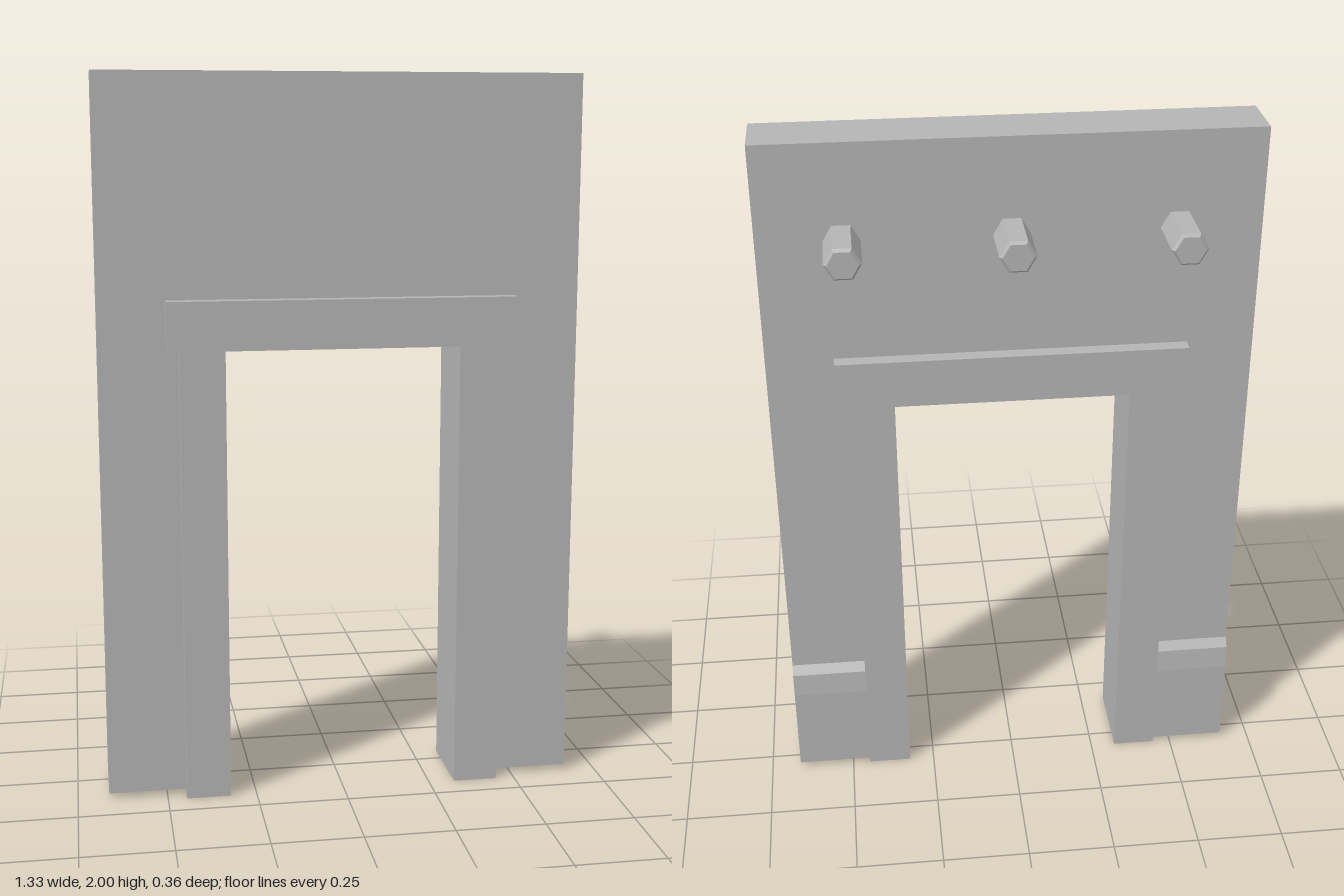
import * as THREE from 'three';

export function createModel() {
  const group = new THREE.Group();
  const stone = new THREE.MeshStandardMaterial({ color: 0xb4b4b4 });
  stone.name = 'grey stone';
  stone.flatShading = true;

  const add = (name, geometry, x = 0, y = 0, z = 0) => {
    const mesh = new THREE.Mesh(geometry, stone);
    mesh.name = name;
    mesh.position.set(x, y, z);
    group.add(mesh);
    return mesh;
  };
  const block = (name, x0, x1, y0, y1, z0, z1) =>
    add(name, new THREE.BoxGeometry(x1 - x0, y1 - y0, z1 - z0),
      (x0 + x1) / 2, (y0 + y1) / 2, (z0 + z1) / 2);

  // wall slab with a doorway; the opening's edges are buried in the frame
  const outline = new THREE.Shape([
    [-0.663, 0.015], [-0.385, 0.015], [-0.385, 1.33], [0.385, 1.33],
    [0.385, 0.015], [0.663, 0.015], [0.663, 2], [-0.663, 2],
  ].map(([x, y]) => new THREE.Vector2(x, y)));
  add('wall', new THREE.ExtrudeGeometry(outline, { depth: 0.165, bevelEnabled: false }), 0, 0, -0.025);

  // door frame
  block('lintel', -0.48, 0.48, 1.265, 1.4, -0.065, 0.182);

  // plinth profile, drawn as (-z, y) and extruded along x
  const plinth = new THREE.Shape([
    [0.025, 0.015], [0.053, 0.015], [0.051, 0.28], [0.045, 0.35], [0.025, 0.375],
  ].map(([x, y]) => new THREE.Vector2(x, y)));

  for (const [side, s] of [['left', 1], ['right', -1]]) {
    const inner = s * 0.323, outer = s * 0.447;
    block(side + 'Post', Math.min(inner, outer), Math.max(inner, outer), 0, 1.265, -0.055, 0.175);

    const foot = add(side + 'Plinth',
      new THREE.ExtrudeGeometry(plinth, { depth: 0.243, bevelEnabled: false }),
      s > 0 ? 0.42 : -0.663, 0, 0);
    foot.rotation.y = Math.PI / 2;
  }

  // hexagonal beam ends with a small chamfer, projecting from the back
  const pegProfile = [[0, 0], [0.049, 0], [0.049, 0.149], [0.041, 0.158], [0, 0.158]]
    .map(([r, y]) => new THREE.Vector2(r, y));
  for (const x of [-0.44, 0, 0.44]) {
    const peg = add('beamEnd', new THREE.LatheGeometry(pegProfile, 6, Math.PI / 2), x, 1.737, -0.024);
    peg.rotation.x = -Math.PI / 2;
  }

  return group;
}
